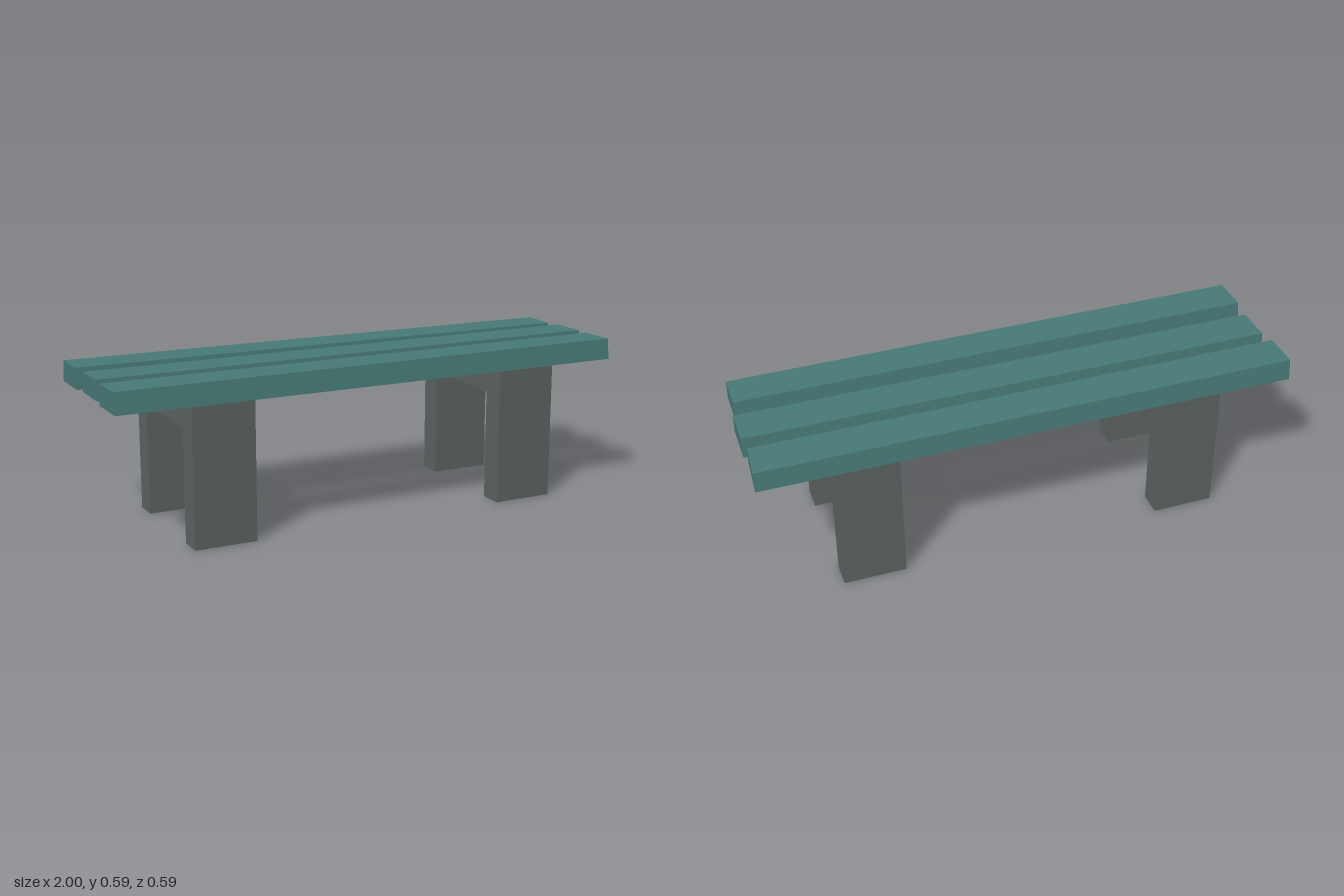
import * as THREE from 'three';

export function createModel() {
  const model = new THREE.Group();
  model.name = 'bench';
  const teal = new THREE.MeshStandardMaterial({ color: 0x487a77 });
  teal.name = 'painted teal';
  const grey = new THREE.MeshStandardMaterial({ color: 0x5d6562 });
  grey.name = 'concrete grey';

  // Tapered seat plank, slightly uneven from one end to the other.
  // Each end: x at the back and front edge, back z, front z, top y.
  const bottom = 0.51, taper = 0.01;
  function plank(name, rightEnd, leftEnd) {
    const geo = new THREE.BoxGeometry(1, 1, 1);
    const p = geo.attributes.position;
    for (let i = 0; i < p.count; i++) {
      const end = p.getX(i) > 0 ? leftEnd : rightEnd;
      const front = p.getZ(i) > 0, top = p.getY(i) > 0;
      const inset = top ? taper : 0;
      p.setXYZ(i,
        front ? end.xFront : end.xBack,
        top ? end.top : bottom,
        front ? end.front - inset : end.back + inset);
    }
    geo.computeVertexNormals();
    // Unpainted underside
    const mesh = new THREE.Mesh(geo, [teal, teal, teal, grey, teal, teal]);
    mesh.name = name;
    model.add(mesh);
  }
  plank('frontPlank',
    { xBack: -1, xFront: -1, back: 0.13, front: 0.293, top: 0.588 },
    { xBack: 0.985, xFront: 0.985, back: 0.123, front: 0.28, top: 0.588 });
  plank('middlePlank',
    { xBack: -0.99, xFront: -0.99, back: -0.092, front: 0.07, top: 0.584 },
    { xBack: 1, xFront: 1, back: -0.092, front: 0.07, top: 0.584 });
  plank('backPlank',
    { xBack: -1, xFront: -1, back: -0.293, front: -0.13, top: 0.588 },
    { xBack: 1, xFront: 0.99, back: -0.293, front: -0.13, top: 0.582 });

  // Arch-shaped supports, drawn in z and y and extruded across x
  const arch = new THREE.Shape([
    [-0.276, 0], [-0.185, 0], [-0.185, 0.416], [0.187, 0.416],
    [0.187, 0], [0.278, 0], [0.278, 0.508], [-0.276, 0.508],
  ].map(([z, y]) => new THREE.Vector2(z, y)));
  const supportGeo = new THREE.ExtrudeGeometry(arch, { depth: 0.232, bevelEnabled: false });
  supportGeo.rotateY(-Math.PI / 2);
  for (const [name, x] of [['rightSupport', -0.497], ['leftSupport', 0.724]]) {
    const support = new THREE.Mesh(supportGeo, grey);
    support.name = name;
    support.position.x = x;
    model.add(support);
  }
  return model;
}
